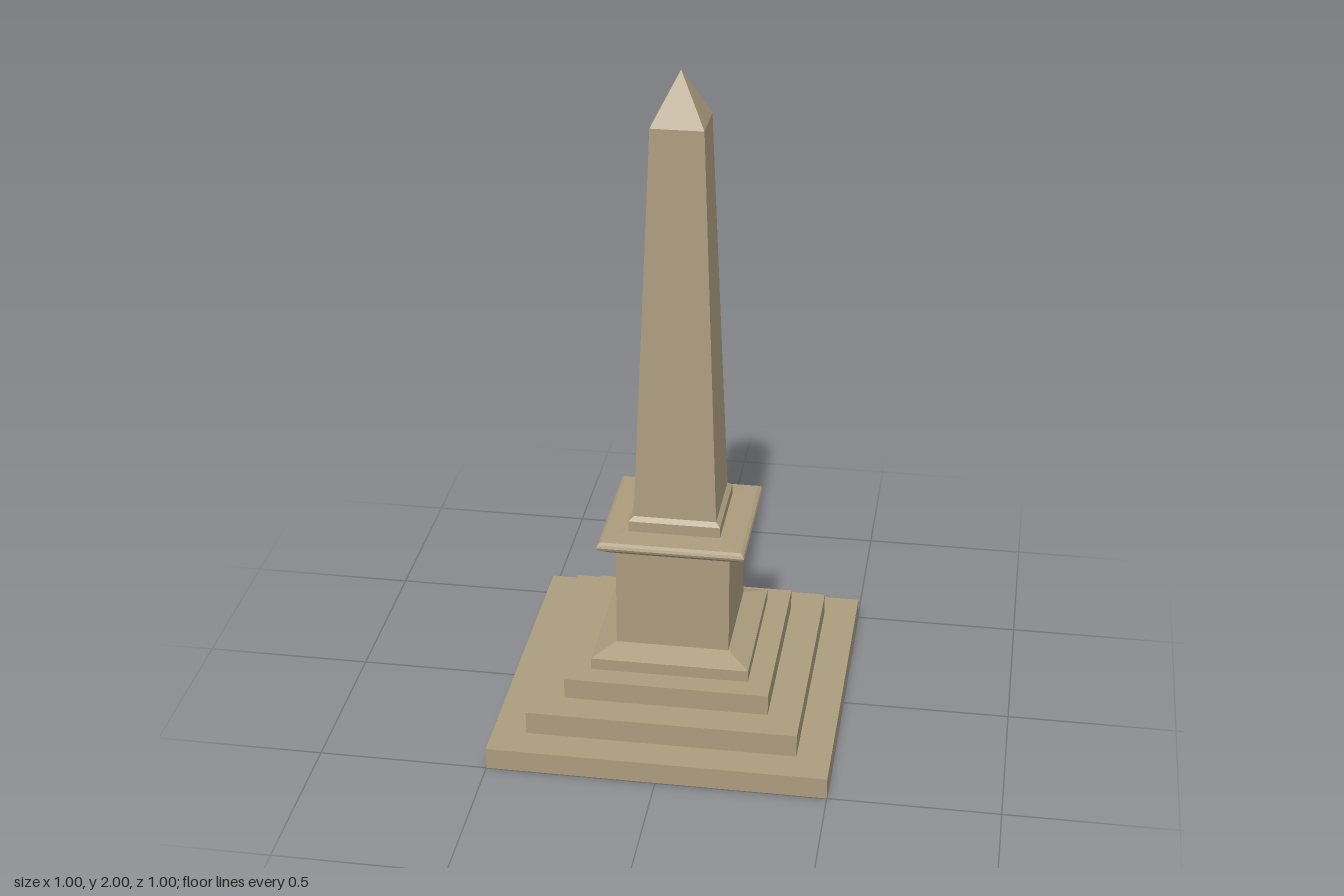
import * as THREE from 'three';

const stone = new THREE.MeshStandardMaterial({ color: 0xab9c7e });
stone.name = 'sandstone';
const bronze = new THREE.MeshStandardMaterial({ color: 0x40524a });
bronze.name = 'dark green bronze';

// Square solid from [halfWidth, y] pairs, bottom to top, closed at both ends
function squareSolid(name, profile) {
  const rows = [[0, profile[0][1]], ...profile];
  const top = profile[profile.length - 1];
  if (top[0] > 0) rows.push([0, top[1]]);
  const points = rows.map(([half, y]) => new THREE.Vector2(half * Math.SQRT2, y));
  const geometry = new THREE.LatheGeometry(points, 4, Math.PI / 4).toNonIndexed();
  geometry.computeVertexNormals();
  const mesh = new THREE.Mesh(geometry, stone);
  mesh.name = name;
  return mesh;
}

export function createModel() {
  const model = new THREE.Group();
  model.name = 'obelisk';

  // Three square steps
  const steps = new THREE.Group();
  steps.name = 'steps';
  [[0.5, 0, 0.066], [0.4, 0.066, 0.136], [0.303, 0.136, 0.2]].forEach(([half, y0, y1], i) => {
    steps.add(squareSolid(`step${i + 1}`, [[half, y0], [half, y1]]));
  });
  model.add(steps);

  // Pedestal with sloped foot
  model.add(squareSolid('pedestalFoot', [[0.235, 0.2], [0.235, 0.236], [0.17, 0.262]]));
  model.add(squareSolid('pedestal', [[0.168, 0.262], [0.168, 0.57]]));

  // Overhanging cornice
  model.add(squareSolid('cornice', [
    [0.168, 0.567], [0.18, 0.572], [0.205, 0.59], [0.214, 0.596],
    [0.217, 0.604], [0.214, 0.612], [0.205, 0.618], [0.135, 0.622],
  ]));

  // Shaft base, tapering shaft and pointed cap
  model.add(squareSolid('shaftBase', [[0.135, 0.62], [0.135, 0.655], [0.122, 0.667]]));
  model.add(squareSolid('shaft', [[0.122, 0.66], [0.076, 1.853]]));
  model.add(squareSolid('pyramidCap', [[0.076, 1.853], [0, 2]]));

  // Plaque on the back of the pedestal
  const plaque = new THREE.Mesh(new THREE.BoxGeometry(0.22, 0.14, 0.008), bronze);
  plaque.name = 'plaque';
  plaque.position.set(0, 0.415, -0.169);
  model.add(plaque);

  return model;
}
